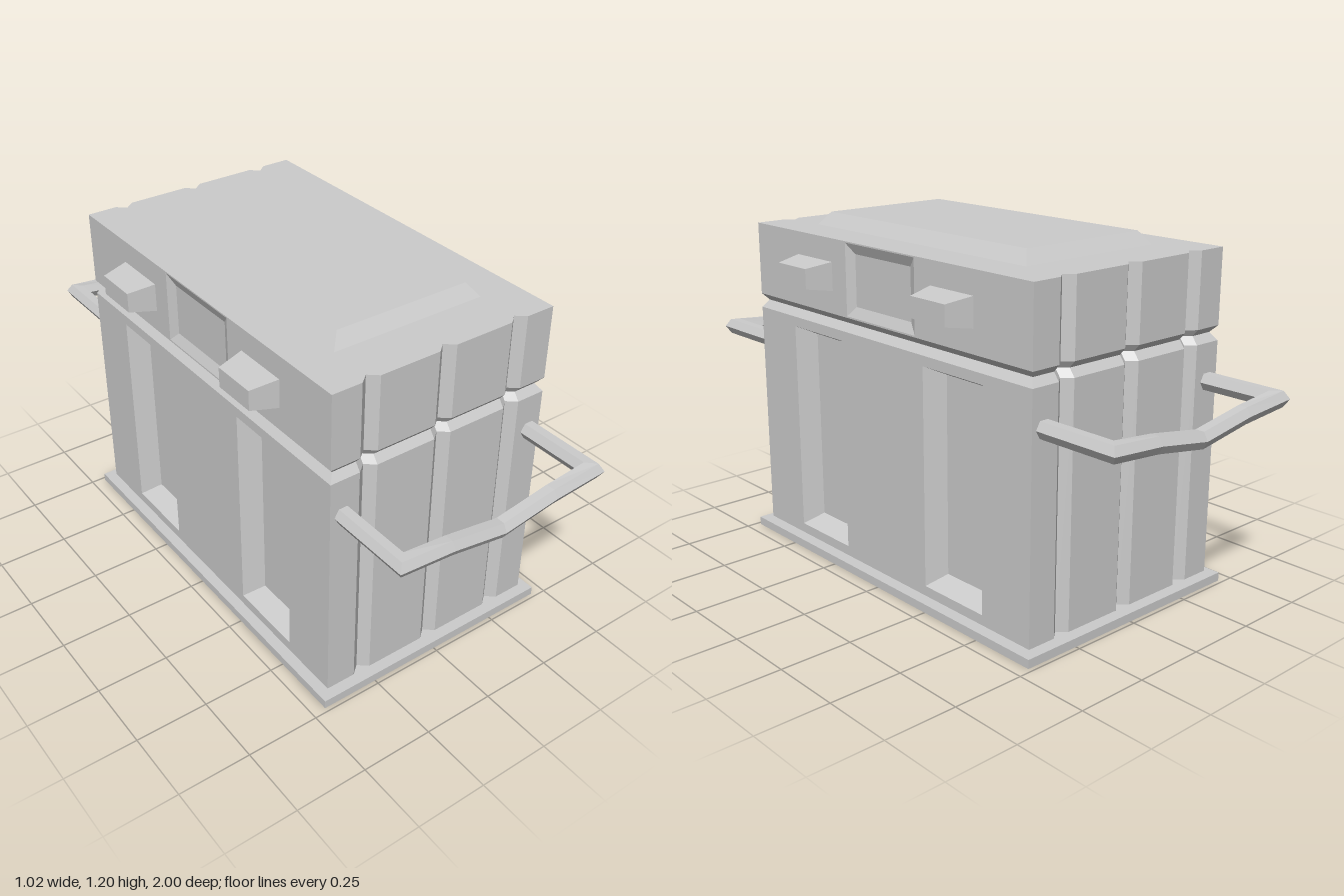
import * as THREE from 'three';

const material = new THREE.MeshStandardMaterial({ color: 0xcccccc, flatShading: true });
const HALF_X = 0.417, HALF_Z = 0.7;

function addMesh(parent, name, geometry) {
  const mesh = new THREE.Mesh(geometry, material);
  mesh.name = name;
  parent.add(mesh);
  return mesh;
}

// Skins closed rings of points; skip(ring, edge) leaves a quad open
function loft(rings, capEnd = false, skip = () => false) {
  const pos = [];
  const tri = (...pts) => pts.forEach((p) => pos.push(...p));
  for (let r = 0; r < rings.length - 1; r++) {
    const a = rings[r], b = rings[r + 1], n = a.length;
    for (let i = 0; i < n; i++) {
      if (skip(r, i)) continue;
      const j = (i + 1) % n;
      tri(a[i], a[j], b[j]);
      tri(a[i], b[j], b[i]);
    }
  }
  if (capEnd) {
    const e = rings[rings.length - 1];
    for (let i = 1; i < e.length - 1; i++) tri(e[0], e[i], e[i + 1]);
  }
  const g = new THREE.BufferGeometry();
  g.setAttribute('position', new THREE.Float32BufferAttribute(pos, 3));
  g.computeVertexNormals();
  return g;
}

// Bevelled rectangle facing +z: raised for positive depth, recessed for negative
function bevelPanel(w, h, innerW, innerH, depth) {
  const rect = (a, b, z) => [[-a / 2, -b / 2, z], [a / 2, -b / 2, z], [a / 2, b / 2, z], [-a / 2, b / 2, z]];
  return loft([rect(w, h, 0), rect(innerW, innerH, depth)], true);
}

// Plan outline with three V grooves at the front and back
function outline(inset) {
  const x = HALF_X - inset, z = HALF_Z - inset;
  const front = [[-x, z]];
  for (const c of [-0.28, 0, 0.28]) front.push([c - 0.032, z], [c, z - 0.027], [c + 0.032, z]);
  front.push([x, z]);
  return [...front, ...front.map(([px, pz]) => [-px, -pz])];
}

// Stacked outlines; flat side walls stay open for the recessed side panels
function shell(levels) {
  const rings = levels.map(([y, inset]) => outline(inset).map(([x, z]) => [x, y, z]));
  const n = rings[0].length;
  const isSide = (i) => i === n / 2 - 1 || i === n - 1;
  return loft(rings, false, (r, i) => isSide(i) && levels[r][1] === 0 && levels[r + 1][1] === 0);
}

function rectPath(path, cx, cy, w, h) {
  path.moveTo(cx - w / 2, cy - h / 2);
  path.lineTo(cx + w / 2, cy - h / 2);
  path.lineTo(cx + w / 2, cy + h / 2);
  path.lineTo(cx - w / 2, cy + h / 2);
  path.closePath();
  return path;
}

// Side wall with recesses given as [centre, y, w, h, bevel, depth]
function sideWall(parent, name, y0, y1, recesses) {
  const shape = rectPath(new THREE.Shape(), 0, (y0 + y1) / 2, HALF_Z * 2, y1 - y0);
  for (const [cx, cy, w, h, bevel, depth] of recesses) {
    shape.holes.push(rectPath(new THREE.Path(), cx, cy, w, h));
    addMesh(parent, name + 'Recess', bevelPanel(w, h, w - 2 * bevel, h - 2 * bevel, -depth)).position.set(cx, cy, 0);
  }
  addMesh(parent, name + 'Wall', new THREE.ShapeGeometry(shape));
}

// Hexagonal bar swept along a kinked U; each stop is [x, y, z, lateral x, lateral z]
function handleGeometry() {
  const stops = [
    [-0.37, 0.722, 0.68, -1, 0], [-0.37, 0.722, 0.968, -1, 1], [-0.2, 0.707, 0.968, 0, 1],
    [0, 0.675, 0.968, 0, 1],
    [0.2, 0.707, 0.968, 0, 1], [0.37, 0.722, 0.968, 1, 1], [0.37, 0.722, 0.68, 1, 0],
  ];
  const r = 0.031;
  return loft(stops.map(([x, y, z, lx, lz]) => Array.from({ length: 6 }, (_, i) => {
    const a = -i * Math.PI / 3, c = Math.cos(a) * r;
    return [x + lx * c, y + Math.sin(a) * r, z + lz * c];
  })));
}

export function createModel() {
  const model = new THREE.Group();
  model.name = 'crate';

  // Base plate
  addMesh(model, 'basePlate', new THREE.BoxGeometry(0.905, 0.03, 1.47)).position.y = 0.015;

  // Body and lid, meeting in a V seam
  addMesh(model, 'body', shell([[0.03, 0.02], [0.036, 0], [0.85, 0], [0.877, 0.02]]));
  addMesh(model, 'lid', shell([[0.877, 0.02], [0.9, 0], [1.155, 0]]));

  // Lid top and raised panel
  const top = new THREE.Shape(outline(0).map(([x, z]) => new THREE.Vector2(x, -z)));
  const lidTop = addMesh(model, 'lidTop', new THREE.ShapeGeometry(top));
  lidTop.rotation.x = -Math.PI / 2;
  lidTop.position.y = 1.155;
  const raised = addMesh(model, 'lidRaisedPanel', bevelPanel(0.56, 1.055, 0.49, 0.985, 0.045));
  raised.rotation.x = -Math.PI / 2;
  raised.position.y = 1.155;

  // Sides with recesses and tapered blocks
  for (const s of [1, -1]) {
    const side = new THREE.Group();
    side.name = s > 0 ? 'leftSide' : 'rightSide';
    side.position.x = s * HALF_X;
    side.rotation.y = s * Math.PI / 2;
    sideWall(side, 'body', 0.036, 0.85, [-1, 1].map((k) => [k * 0.352, 0.443, 0.277, 0.745, 0.033, 0.07]));
    sideWall(side, 'lid', 0.9, 1.155, [[0, 1.028, 0.355, 0.245, 0.035, 0.015]]);
    for (const k of [-1, 1]) {
      addMesh(side, 'sideBlock', bevelPanel(0.197, 0.098, 0.157, 0.068, 0.093)).position.set(k * 0.353, 1.027, 0);
    }
    model.add(side);
  }

  // Carry handles
  const handle = handleGeometry();
  addMesh(model, 'frontHandle', handle);
  addMesh(model, 'backHandle', handle).rotation.y = Math.PI;

  return model;
}
